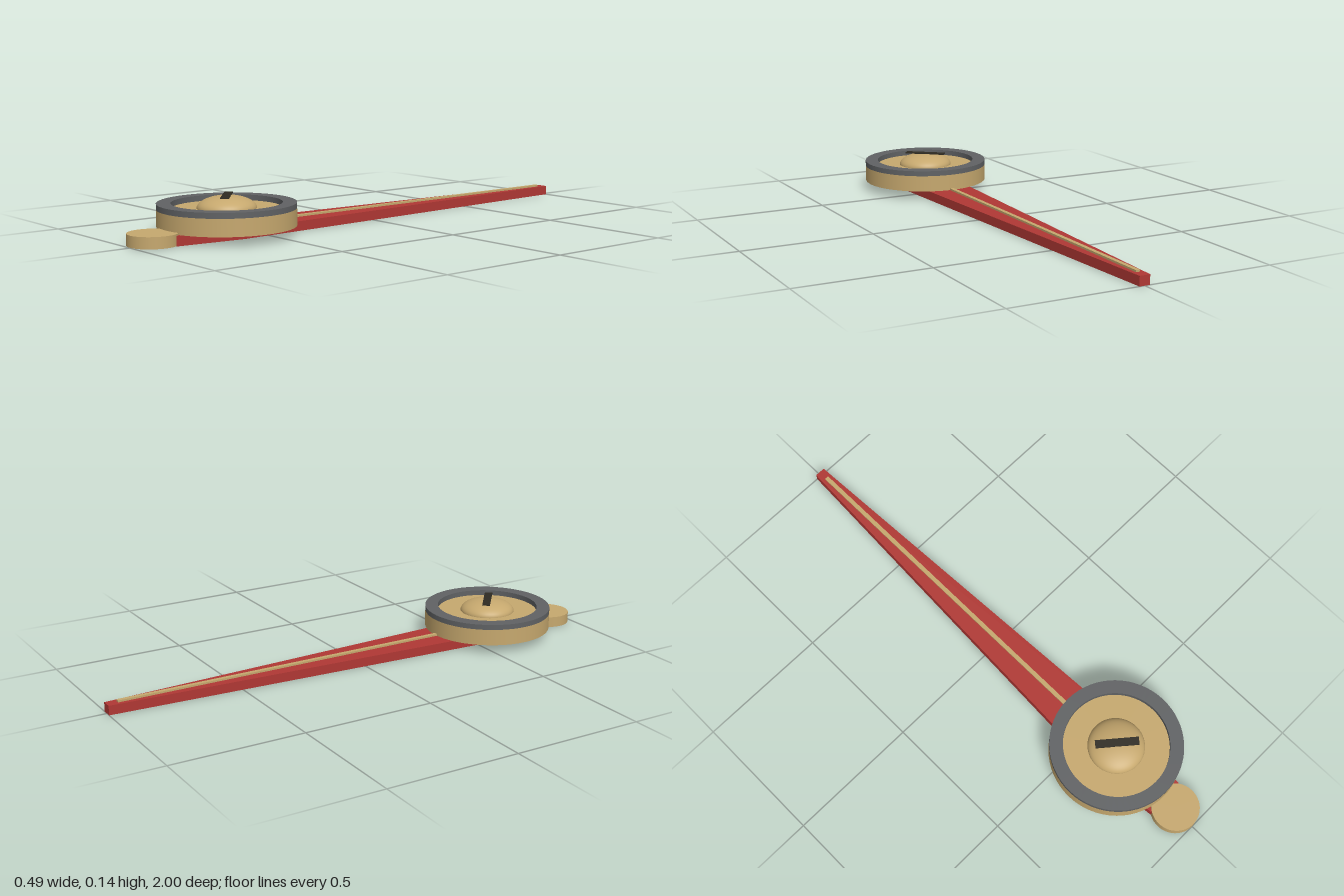
import * as THREE from 'three';

const material = (name, color) => {
  const m = new THREE.MeshStandardMaterial({ color });
  m.name = name;
  return m;
};

export function createModel() {
  const group = new THREE.Group();
  const red = material('red', 0xb03834);
  const brass = material('brass', 0xc6a86e);
  const grey = material('grey', 0x606264);
  const dark = material('dark', 0x2e2b22);
  const hubZ = 0.61;

  const add = (name, geometry, mat, x, y, z) => {
    const mesh = new THREE.Mesh(geometry, mat);
    mesh.name = name;
    mesh.position.set(x, y, z);
    group.add(mesh);
    return mesh;
  };

  // Tapered arm, widest under the hub
  const half = [[0.02, -1], [0.102, hubZ], [0.074, 0.87]];
  const outline = [...half, ...half.slice().reverse().map(([x, z]) => [-x, z])];
  const armShape = new THREE.Shape(outline.map(([x, z]) => new THREE.Vector2(x, -z)));
  const arm = new THREE.ExtrudeGeometry(armShape, { depth: 0.035, bevelEnabled: false });
  arm.rotateX(-Math.PI / 2);
  add('arm', arm, red, 0, 0, 0);

  // Thin raised rib along the arm
  add('rib', new THREE.BoxGeometry(0.016, 0.007, 1.46), brass, 0, 0.0385, -0.23);

  // Round counterweight at the tail
  add('counterweight', new THREE.CylinderGeometry(0.088, 0.088, 0.041, 48), brass, 0, 0.0215, 0.912);

  // Hub drum
  add('hub', new THREE.CylinderGeometry(0.245, 0.245, 0.062, 64), brass, 0, 0.066, hubZ);

  // Raised rim with a square section
  const rimProfile = [[0.195, 0], [0.245, 0], [0.245, 0.02], [0.195, 0.02], [0.195, 0]];
  // Separate bands keep the rim edges sharp
  const rim = new THREE.Group();
  rim.name = 'rim';
  rim.position.set(0, 0.097, hubZ);
  for (let i = 0; i < 4; i++) {
    const points = [rimProfile[i], rimProfile[i + 1]].map(([r, y]) => new THREE.Vector2(r, y));
    const band = new THREE.Mesh(new THREE.LatheGeometry(points, 64), grey);
    band.name = 'rimBand';
    rim.add(band);
  }
  group.add(rim);

  // Flattened dome screw head and its slot
  const dome = new THREE.SphereGeometry(0.105, 48, 16, 0, Math.PI * 2, 0, Math.PI / 2);
  dome.scale(1, 0.045 / 0.105, 1);
  add('screwHead', dome, brass, 0, 0.097, hubZ);
  const slot = add('screwSlot', new THREE.BoxGeometry(0.16, 0.004, 0.03), dark, 0, 0.142, hubZ);
  slot.rotation.y = -Math.PI * 40 / 180;

  return group;
}
